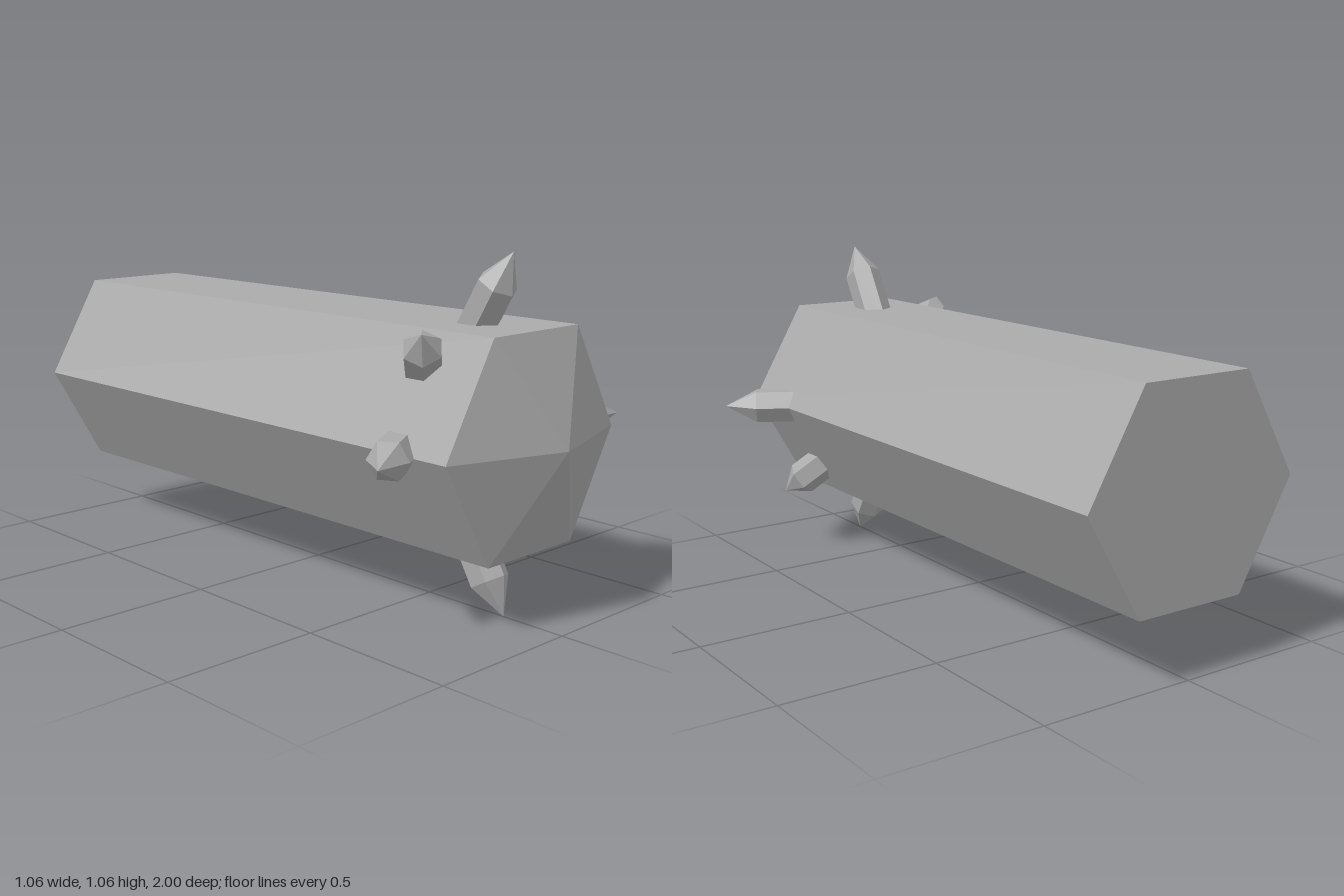
import * as THREE from 'three';

// Six-sided crystal along +y: closed base, straight shaft, pointed tip, faceted normals
function crystal(radius, base, shoulder, tip) {
  const profile = [[0, base], [radius, base], [radius, shoulder], [0, tip]]
    .map(([x, y]) => new THREE.Vector2(x, y));
  const geometry = new THREE.LatheGeometry(profile, 6).toNonIndexed();
  geometry.computeVertexNormals();
  return geometry;
}

export function createModel() {
  const group = new THREE.Group();
  const stone = new THREE.MeshStandardMaterial({ color: 0xaaaaaa });
  stone.name = 'grey stone';
  const centreY = 0.533;

  // Main column, lying along z with its point to the front
  const bodyGeometry = crystal(0.37, -1, 0.88, 1);
  bodyGeometry.rotateY(Math.PI / 6).rotateX(Math.PI / 2);
  const body = new THREE.Mesh(bodyGeometry, stone);
  body.name = 'crystalBody';
  body.position.y = centreY;
  group.add(body);

  // Small crystals leaning 30 degrees forward; origin at the tip
  const longSpike = crystal(0.061, -0.33, -0.11, 0).rotateX(Math.PI / 6);
  const shortSpike = crystal(0.059, -0.28, -0.077, 0).rotateX(Math.PI / 6);

  function addSpike(name, geometry, degrees, reach, z) {
    const angle = THREE.MathUtils.degToRad(degrees);
    const spike = new THREE.Mesh(geometry, stone);
    spike.name = name;
    spike.rotation.z = angle;
    spike.position.set(-Math.sin(angle) * reach, centreY + Math.cos(angle) * reach, z);
    group.add(spike);
  }

  // Long spikes on four sides
  ['topSpike', 'rightSpike', 'bottomSpike', 'leftSpike'].forEach((name, i) =>
    addSpike(name, longSpike, i * 90, 0.532, 0.79));

  // Short spikes on opposite diagonals
  addSpike('upperRightSpike', shortSpike, 45, 0.466, 0.75);
  addSpike('lowerLeftSpike', shortSpike, 225, 0.466, 0.75);

  return group;
}
